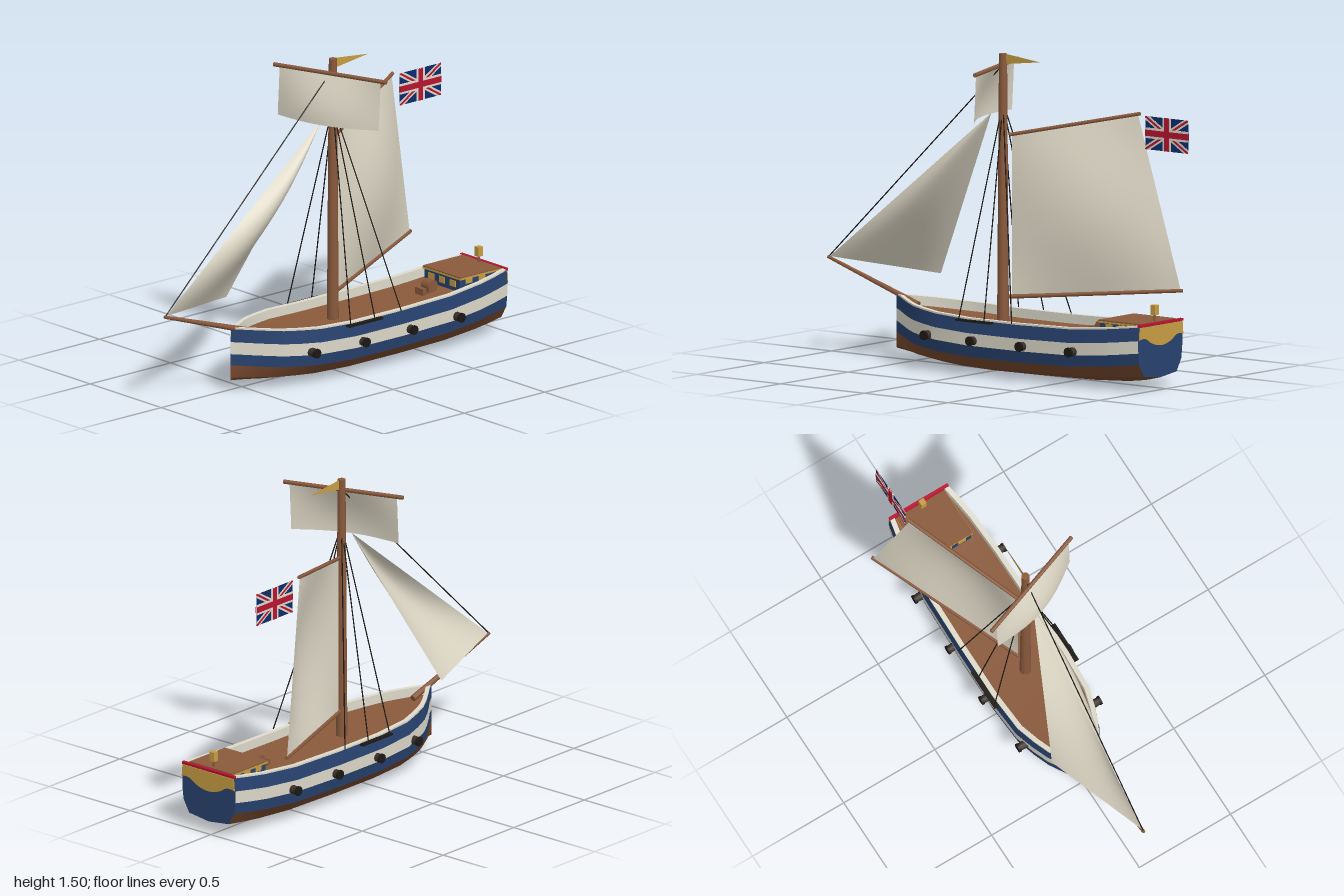
import * as THREE from 'three';

const V = (x, y, z) => new THREE.Vector3(x, y, z);
const mat = (name, color) => {
  const m = new THREE.MeshStandardMaterial({ color, side: THREE.DoubleSide });
  m.name = name;
  return m;
};

export function createModel() {
  const wood = mat('wood', 0x8a5a3c), keelWood = mat('keelWood', 0x75472c), navy = mat('navy', 0x27426f),
    cream = mat('cream', 0xdedacb), canvas = mat('canvas', 0xddd7c5), gold = mat('gold', 0xc79d42),
    black = mat('black', 0x1c1814), iron = mat('iron', 0x3a3029), red = mat('red', 0xb8142f),
    flagBlue = mat('flagBlue', 0x0d2c6c);

  const root = new THREE.Group();
  root.name = 'sailingShip';
  const ship = new THREE.Group();
  ship.name = 'ship';
  ship.position.x = 0.025;
  root.add(ship);

  const add = (name, geo, m, x = 0, y = 0, z = 0, parent = ship) => {
    const mesh = new THREE.Mesh(geo, m);
    mesh.name = name;
    mesh.position.set(x, y, z);
    parent.add(mesh);
    return mesh;
  };
  const box = (name, m, w, h, d, x, y, z) => add(name, new THREE.BoxGeometry(w, h, d), m, x, y, z);
  const rod = (name, a, b, r1, r2, m, sides = 8) => {
    const d = b.clone().sub(a), c = a.clone().add(b).multiplyScalar(0.5);
    const mesh = add(name, new THREE.CylinderGeometry(r2, r1, d.length(), sides), m, c.x, c.y, c.z);
    mesh.quaternion.setFromUnitVectors(V(0, 1, 0), d.normalize());
    return mesh;
  };
  // smooth surface through rows of points
  const skin = (rows) => {
    const n = rows[0].length, idx = [];
    for (let i = 0; i < rows.length - 1; i++) for (let j = 0; j < n - 1; j++) {
      const a = i * n + j, b = a + n;
      idx.push(a, b, a + 1, b, b + 1, a + 1);
    }
    const g = new THREE.BufferGeometry().setFromPoints(rows.flat());
    g.setIndex(idx);
    g.computeVertexNormals();
    return g;
  };

  // hull stations: z, half beam, sheer rise, keel height
  const stations = [
    [-0.985, 0.165, 0.043, 0.06], [-0.9, 0.182, 0.033, 0.04], [-0.8, 0.197, 0.022, 0.026],
    [-0.6, 0.211, 0.006, 0.014], [-0.3, 0.216, 0, 0.008], [0, 0.216, 0, 0.005], [0.2, 0.203, 0.008, 0.01],
    [0.3, 0.173, 0.014, 0.018], [0.38, 0.142, 0.02, 0.028], [0.44, 0.106, 0.026, 0.038],
    [0.5, 0.064, 0.032, 0.048], [0.55, 0.026, 0.037, 0.055], [0.59, 0.003, 0.042, 0.06]];
  // section levels: share of half beam, height above keel line
  const levels = [[0, 0], [0.74, 0.045], [0.95, 0.092], [0.99, 0.146], [1, 0.205], [0.965, 0.268]];
  const point = (s, l, side = 1) =>
    V(side * levels[l][0] * s[1], l === 0 ? s[3] : levels[l][1] + s[2] * (l === 1 ? 0.7 : 1), s[0]);
  const inner = (s, y, side) => V(side * Math.max(0, s[1] * 0.965 - 0.024), y + s[2], s[0]);

  const bands = [['bottomPlanks', 0, 1, keelWood], ['bilgePlanks', 1, 2, keelWood], ['lowerBand', 2, 3, navy],
    ['gunBand', 3, 4, cream], ['upperBand', 4, 5, navy]];
  for (const side of [-1, 1]) {
    for (const [name, a, b, m] of bands)
      add(name, skin([a, b].map(l => stations.map(s => point(s, l, side)))), m);
    // rail and inside of the bulwark
    const edge = stations.map(s => point(s, 5, side));
    const up = (p) => V(p.x, p.y + 0.008, p.z);
    const top = stations.map(s => inner(s, 0.276, side));
    add('railEdge', skin([edge, edge.map(up)]), cream);
    add('railTop', skin([edge.map(up), top]), cream);
    add('bulwarkInside', skin([top, stations.map(s => inner(s, 0.232, side))]), cream);
  }
  add('deck', skin([-1, 1].map(sd => stations.map(s => inner(s, 0.232, sd)))), wood);

  // transom with gilded panel
  const stern = stations[0];
  const outline = [5, 4, 3, 2, 1, 0].map(l => point(stern, l, 1))
    .concat([1, 2, 3, 4, 5].map(l => point(stern, l, -1))).map(p => new THREE.Vector2(p.x, p.y));
  add('transom', new THREE.ShapeGeometry(new THREE.Shape(outline)), navy, 0, 0, -0.985);
  const panel = new THREE.Shape();
  panel.moveTo(-0.157, 0.308);
  panel.lineTo(-0.162, 0.25);
  panel.quadraticCurveTo(-0.12, 0.265, -0.085, 0.235);
  panel.quadraticCurveTo(0, 0.19, 0.085, 0.235);
  panel.quadraticCurveTo(0.12, 0.265, 0.162, 0.25);
  panel.lineTo(0.157, 0.308);
  add('transomPanel', new THREE.ExtrudeGeometry(panel, { depth: 0.006, bevelEnabled: false }), gold, 0, 0, -0.993);
  box('transomRail', red, 0.322, 0.012, 0.016, 0, 0.316, -0.985);
  box('transomInside', red, 0.27, 0.05, 0.006, 0, 0.288, -0.978);

  // stern cabin
  box('cabin', navy, 0.25, 0.075, 0.24, 0, 0.272, -0.846);
  box('cabinTrim', gold, 0.268, 0.008, 0.252, 0, 0.313, -0.846);
  box('cabinRoof', wood, 0.264, 0.006, 0.25, 0, 0.32, -0.846);
  for (const x of [-0.075, 0, 0.075]) box('cabinFrontWindow', gold, 0.04, 0.03, 0.006, x, 0.282, -0.725);
  for (const x of [-0.126, 0.126]) for (const z of [-0.78, -0.86])
    box('cabinSideWindow', gold, 0.006, 0.022, 0.04, x, 0.295, z);
  rod('lanternPost', V(0, 0.32, -0.952), V(0, 0.352, -0.952), 0.006, 0.006, wood);
  box('lantern', gold, 0.028, 0.046, 0.028, 0, 0.375, -0.952);

  // steering drum on the deck
  rod('drum', V(-0.026, 0.272, -0.645), V(0.026, 0.272, -0.645), 0.03, 0.03, wood, 12);
  box('drumStand', wood, 0.044, 0.045, 0.05, 0, 0.252, -0.645);
  box('drumStep', wood, 0.056, 0.036, 0.022, 0, 0.252, -0.592);

  // guns
  for (const side of [-1, 1]) for (const z of [0.25, -0.04, -0.335, -0.63]) {
    const b = z > 0.2 ? 0.18 : 0.205;
    rod('gunBarrel', V(side * b, 0.172, z), V(side * (z > 0.2 ? 0.225 : 0.246), 0.172, z), 0.022, 0.019, iron, 10);
    rod('gunMuzzle', V(side * (z > 0.2 ? 0.217 : 0.238), 0.172, z), V(side * (z > 0.2 ? 0.228 : 0.249), 0.172, z),
      0.023, 0.023, black, 10);
  }

  // mast and spars
  rod('mast', V(0, 0.22, -0.045), V(0, 1.5, -0.045), 0.028, 0.019, wood, 10);
  rod('bowsprit', V(0, 0.275, 0.46), V(0, 0.452, 1.0), 0.015, 0.008, wood);
  rod('topYard', V(-0.268, 1.436, 0.085), V(0.297, 1.436, -0.115), 0.01, 0.01, wood);
  rod('gaff', V(-0.012, 1.12, -0.075), V(-0.266, 1.242, -0.652), 0.009, 0.009, wood);
  rod('boom', V(-0.012, 0.358, -0.075), V(-0.35, 0.416, -0.838), 0.011, 0.009, wood);

  // sails: four corners and a belly
  const sail = (name, tl, tr, bl, br, belly, drop = 1) => {
    const n = 14, rows = [];
    for (let i = 0; i <= n; i++) {
      const v = i / n, row = [];
      for (let j = 0; j <= n; j++) {
        const u = j / n, k = Math.sin(Math.PI * u) * Math.sin(Math.PI * v * drop);
        row.push(tl.clone().lerp(tr, u).lerp(bl.clone().lerp(br, u), v).addScaledVector(belly, k));
      }
      rows.push(row);
    }
    add(name, skin(rows), canvas);
  };
  sail('topsail', V(-0.235, 1.428, 0.078), V(0.272, 1.428, -0.102), V(-0.235, 1.2, 0.09), V(0.272, 1.2, -0.09),
    V(0.018, 0, 0.05), 0.55);
  sail('mainsail', V(-0.016, 1.118, -0.085), V(-0.262, 1.236, -0.642), V(-0.016, 0.365, -0.085),
    V(-0.346, 0.42, -0.828), V(0.06, 0, -0.026));
  const head = V(0, 1.215, 0.025);
  sail('jib', head, head, V(0, 0.455, 0.99), V(-0.172, 0.402, 0.465), V(0.085, 0, 0));

  // rigging
  const rope = (name, a, b) => rod(name, a, b, 0.003, 0.003, black, 5);
  rope('forestay', V(0, 1.448, -0.045), V(0, 0.455, 0.995));
  for (const side of [-1, 1]) {
    for (const z of [0.04, -0.11, -0.275]) rope('shroud', V(0, 1.27, -0.045), V(side * 0.222, 0.272, z));
    box('channel', black, 0.026, 0.009, 0.21, side * 0.218, 0.264, -0.05);
  }

  // pennant
  const pennant = new THREE.Shape([[-0.06, 1.5], [-0.06, 1.452], [-0.265, 1.478]].map(p => new THREE.Vector2(-p[0], p[1])));
  const pennantMesh = add('pennant', new THREE.ShapeGeometry(pennant), gold);
  pennantMesh.rotation.y = Math.PI / 2;

  // crossed flag in thin layers
  const flag = new THREE.Group();
  flag.name = 'flag';
  flag.position.set(-0.258, 1.157, -0.817);
  flag.rotation.y = Math.PI / 2;
  ship.add(flag);
  const W = 0.128, H = 0.078;
  const plate = (name, w, h, t, m) => add(name, new THREE.BoxGeometry(w, h, t), m, 0, 0, 0, flag);
  const diagonal = (name, half, t, m, flip) => {
    const len = Math.hypot(W, H), dx = half * len / H, dy = half * len / W;
    const pts = [[-W, -H], [-W + dx, -H], [W, H - dy], [W, H], [W - dx, H], [-W, -H + dy]];
    const shape = new THREE.Shape(pts.map(p => new THREE.Vector2(p[0] * flip, p[1])));
    add(name, new THREE.ExtrudeGeometry(shape, { depth: t, bevelEnabled: false }), m, 0, 0, -t / 2, flag);
  };
  plate('flagField', W * 2, H * 2, 0.001, flagBlue);
  for (const f of [-1, 1]) {
    diagonal('flagWhiteDiagonal', 0.014, 0.0028, cream, f);
    diagonal('flagRedDiagonal', 0.005, 0.0046, red, f);
  }
  plate('flagWhiteUpright', 0.05, H * 2, 0.0064, cream);
  plate('flagWhiteBar', W * 2, 0.05, 0.0064, cream);
  plate('flagRedUpright', 0.029, H * 2, 0.0082, red);
  plate('flagRedBar', W * 2, 0.029, 0.0082, red);

  return root;
}
